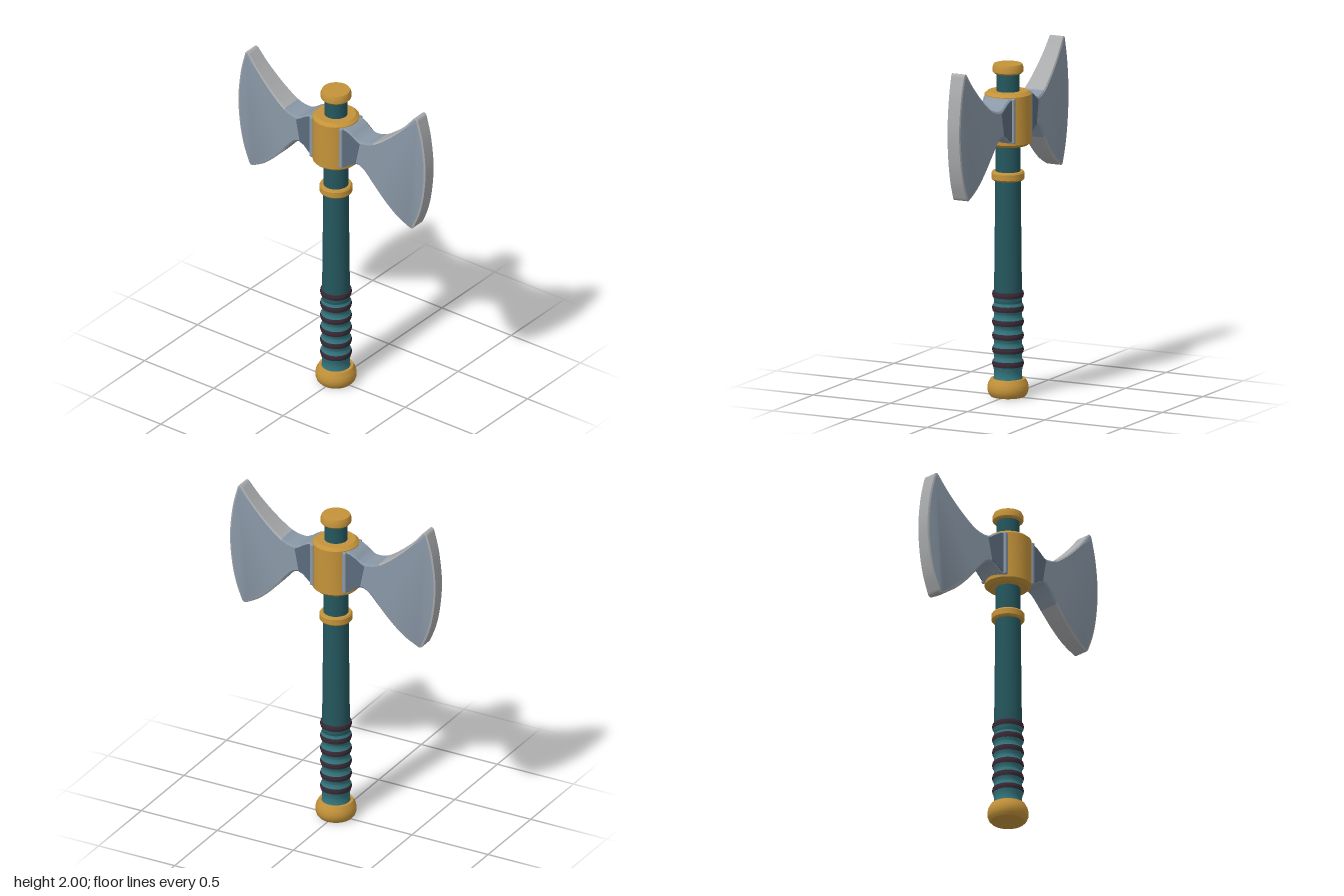
import * as THREE from 'three';
import { toCreasedNormals } from 'three/addons/utils/BufferGeometryUtils.js';
import { RoundedBoxGeometry } from 'three/addons/geometries/RoundedBoxGeometry.js';

const material = (name, color, extra = {}) =>
  Object.assign(new THREE.MeshStandardMaterial({ color, ...extra }), { name });

const v2 = (list) => list.map(([x, y]) => new THREE.Vector2(x, y));

// Half thickness of the axe head, tapering towards the cutting edge
const halfThickness = (x) => THREE.MathUtils.mapLinear(x, 0.1, 0.675, 0.086, 0.042);

export function createModel() {
  const gold = material('gold', 0xc4933a);
  const teal = material('dark teal shaft', 0x24575e);
  const gripTeal = material('teal grip', 0x32747c);
  const band = material('dark leather', 0x3a2a36);
  const steel = material('blue steel', 0x8a98a7);
  const edge = material('pale edge', 0xa9abad);
  const darkSteel = material('dark steel', 0x5b6b7d);

  const model = new THREE.Group();
  model.name = 'doubleAxe';

  const add = (parent, name, geometry, mat) => {
    const mesh = new THREE.Mesh(geometry, mat);
    mesh.name = name;
    parent.add(mesh);
    return mesh;
  };
  const turned = (name, profile, mat, crease = 0.5) =>
    add(model, name, toCreasedNormals(new THREE.LatheGeometry(v2(profile), 40), crease), mat);

  // Shaft, pommel and gold fittings
  turned('shaft', [[0, 0.55], [0.08, 0.55], [0.08, 0.62], [0.066, 1.92], [0, 1.92]], teal);
  turned('pommel', [[0, 0], [0.098, 0], [0.111, 0.015], [0.118, 0.035], [0.119, 0.055],
    [0.114, 0.078], [0.1, 0.105], [0, 0.105]], gold);
  turned('shaftRing', [[0.06, 1.268], [0.088, 1.268], [0.095, 1.277], [0.095, 1.31],
    [0.088, 1.32], [0.06, 1.32]], gold);
  turned('topCap', [[0, 1.893], [0.08, 1.893], [0.088, 1.902], [0.088, 1.932],
    [0.081, 1.948], [0, 1.95]], gold);
  turned('headCollar', [[0.06, 1.475], [0.115, 1.475], [0.135, 1.492], [0.135, 1.773],
    [0.115, 1.79], [0.06, 1.79]], gold);

  // Grip: waisted teal sections between dark bands
  const bands = 6, pitch = 0.081, first = 0.194;
  for (let i = 0; i < bands; i++) {
    const y = first + i * pitch;
    turned('gripBand' + (i + 1), [[0.07, y - 0.016], [0.088, y - 0.016], [0.092, y],
      [0.088, y + 0.016], [0.07, y + 0.016]], band);
    const a = i ? y - pitch + 0.014 : 0.09, b = y - 0.014;
    const section = [];
    for (let k = 0; k <= 8; k++) {
      section.push([0.088 - 0.009 * Math.sin(Math.PI * k / 8), a + (b - a) * k / 8]);
    }
    turned('gripSection' + (i + 1), section, gripTeal);
  }

  // Extrudes an outline and tapers its thickness along x
  const tapered = (shape, bevel, extra) => {
    const geometry = new THREE.ExtrudeGeometry(shape, {
      depth: 2 - 2 * bevel * 10, bevelEnabled: bevel > 0, bevelThickness: bevel * 10,
      bevelSize: bevel, bevelOffset: -bevel, bevelSegments: 1, curveSegments: 36,
    });
    geometry.center();
    shape.userData = null;
    const box = new THREE.Box2().setFromPoints(shape.getPoints(36));
    geometry.translate((box.min.x + box.max.x) / 2, (box.min.y + box.max.y) / 2, 0);
    const p = geometry.attributes.position;
    for (let i = 0; i < p.count; i++) p.setZ(i, p.getZ(i) * (halfThickness(p.getX(i)) + extra));
    return toCreasedNormals(geometry, 0.5);
  };

  // Blade outline: upper curve, cutting arc, lower curve
  const outline = new THREE.Shape();
  outline.moveTo(0.09, 1.77);
  outline.lineTo(0.135, 1.768);
  outline.splineThru(v2([[0.165, 1.752], [0.2, 1.728], [0.245, 1.716], [0.32, 1.737],
    [0.42, 1.81], [0.52, 1.905], [0.592, 1.99]]));
  outline.quadraticCurveTo(0.61, 2.01, 0.623, 1.985);
  outline.splineThru(v2([[0.657, 1.85], [0.676, 1.67], [0.664, 1.5], [0.636, 1.37], [0.597, 1.27]]));
  outline.quadraticCurveTo(0.585, 1.242, 0.562, 1.255);
  outline.splineThru(v2([[0.48, 1.302], [0.4, 1.372], [0.32, 1.46], [0.26, 1.528], [0.215, 1.556],
    [0.17, 1.542], [0.13, 1.51]]));
  outline.lineTo(0.09, 1.5);
  const bladeGeometry = tapered(outline, 0.01, 0);

  // Rim faces are pale on the blade and blue steel around the neck
  const sides = bladeGeometry.groups[1];
  const pos = bladeGeometry.attributes.position;
  const caps = bladeGeometry.groups[0];
  bladeGeometry.clearGroups();
  bladeGeometry.addGroup(caps.start, caps.count, 0);
  for (let i = sides.start; i < sides.start + sides.count; i += 3) {
    const x = (pos.getX(i) + pos.getX(i + 1) + pos.getX(i + 2)) / 3;
    const index = x < 0.32 ? 0 : 1;
    const last = bladeGeometry.groups[bladeGeometry.groups.length - 1];
    if (last.materialIndex === index && last.start + last.count === i) last.count += 3;
    else bladeGeometry.addGroup(i, 3, index);
  }

  // Dark socket facets lying just proud of both blade faces
  const socket = new THREE.Shape(v2([[0.1, 1.76], [0.135, 1.758], [0.165, 1.742], [0.2, 1.718],
    [0.228, 1.7], [0.2, 1.562], [0.17, 1.553], [0.13, 1.52], [0.1, 1.51]]));
  const socketGeometry = tapered(socket, 0, 0.003);

  // Two opposite blades
  for (const [side, angle] of [['left', 0], ['right', Math.PI]]) {
    const half = new THREE.Group();
    half.name = side + 'AxeHead';
    half.rotation.y = angle;
    add(half, side + 'Blade', bladeGeometry, [steel, edge]);
    add(half, side + 'Socket', socketGeometry, darkSteel);
    for (const z of [-0.088, 0.088]) {
      add(half, side + 'Lug', new RoundedBoxGeometry(0.024, 0.265, 0.026, 2, 0.008), steel)
        .position.set(0.106, 1.636, z);
    }
    model.add(half);
  }
  return model;
}
